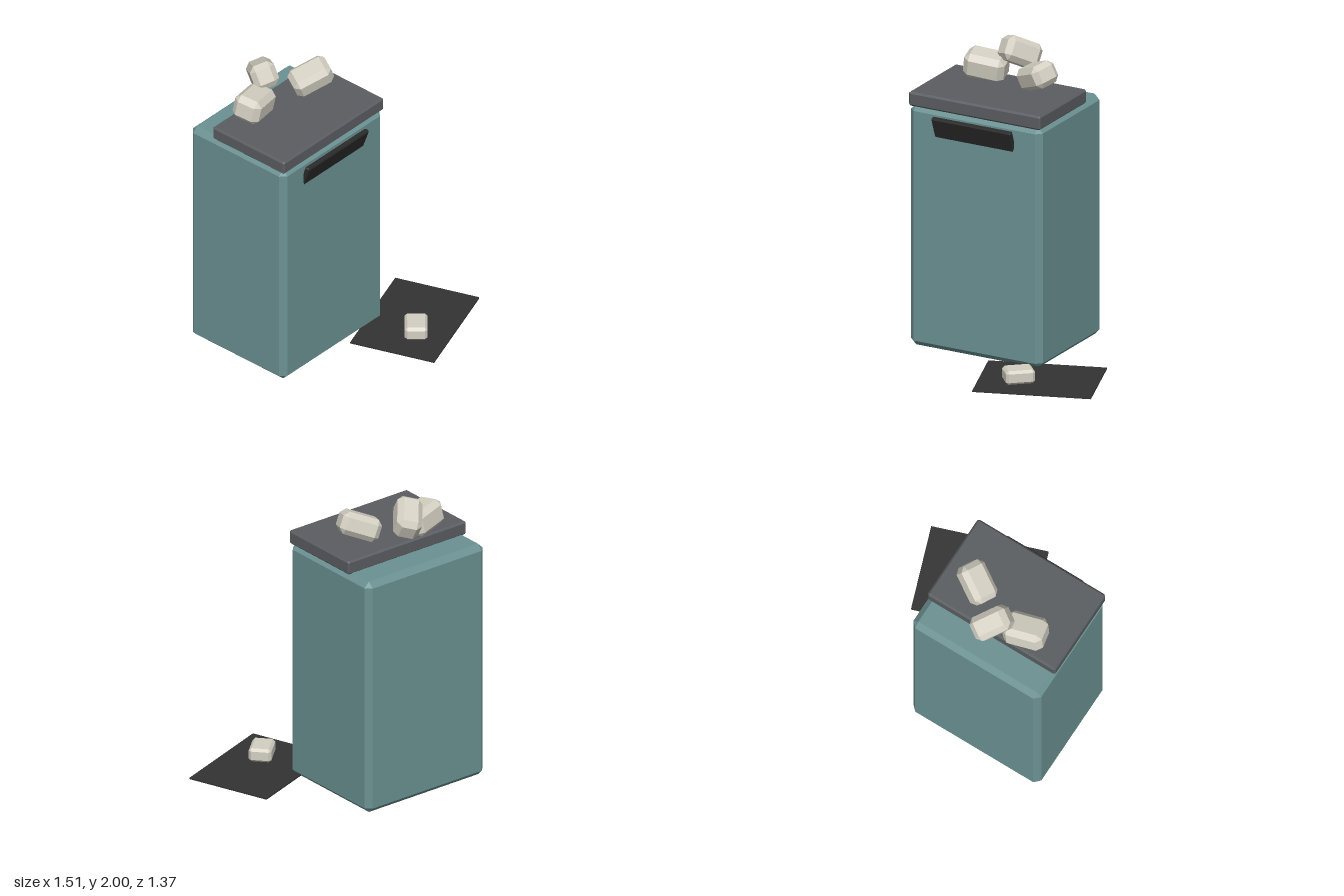
import * as THREE from 'three';
import { ConvexGeometry } from 'three/addons/geometries/ConvexGeometry.js';

const material = (color) => new THREE.MeshStandardMaterial({ color, flatShading: true });

// Box with every edge cut by one flat bevel of size c
function chamferedBox(w, h, d, c) {
  const points = [];
  for (const x of [-1, 1]) for (const y of [-1, 1]) for (const z of [-1, 1]) {
    for (let axis = 0; axis < 3; axis++) {
      const inset = [0, 1, 2].map((i) => (i === axis ? 0 : c));
      points.push(new THREE.Vector3(
        x * (w / 2 - inset[0]), y * (h / 2 - inset[1]), z * (d / 2 - inset[2])));
    }
  }
  return new ConvexGeometry(points);
}

export function createModel() {
  const model = new THREE.Group();
  model.name = 'binWithStones';

  const teal = material(0x6b9192);
  const grey = material(0x5a5d61);
  const black = material(0x2a2a2a);
  const rubber = material(0x333333);
  const stone = material(0xd3cfc2);

  // rotation is [yaw, pitch, roll]
  const add = (name, geometry, mat, position, [yaw, pitch, roll] = [0, 0, 0]) => {
    const mesh = new THREE.Mesh(geometry, mat);
    mesh.name = name;
    mesh.position.set(...position);
    mesh.rotation.set(roll, yaw, pitch, 'YZX');
    model.add(mesh);
  };

  // Bin body and the lid that is slid forward
  add('body', chamferedBox(0.96, 1.62, 0.8, 0.037), teal, [-0.28, 0.81, -0.29]);
  add('lid', chamferedBox(0.96, 0.095, 0.605, 0.012), grey, [-0.28, 1.66, -0.19]);

  // Tilted flap handle on the front
  add('handle', chamferedBox(0.58, 0.16, 0.034, 0.008), black, [-0.28, 1.503, 0.116], [0, 0, 0.35]);

  // Thin mat on the ground
  add('mat', new THREE.BoxGeometry(0.764, 0.01, 0.574), rubber, [0.2975, 0.009, 0.285], [0.34, 0, 0]);

  // Stones holding the lid down, and one on the mat
  const stones = [
    { name: 'leftStone', size: [0.27, 0.17, 0.19, 0.036], at: [-0.475, 1.785, -0.39], turn: [0.24, -0.13, 0.15] },
    { name: 'topStone', size: [0.255, 0.165, 0.165, 0.035], at: [-0.285, 1.873, -0.487], turn: [0.875, -0.445, -0.3] },
    { name: 'rightStone', size: [0.265, 0.15, 0.175, 0.034], at: [-0.047, 1.817, -0.29], turn: [-0.52, 0.37, 0.25] },
    { name: 'matStone', size: [0.19, 0.092, 0.146, 0.017], at: [0.2, 0.059, 0.383], turn: [0.73, 0, 0] },
  ];
  for (const s of stones) add(s.name, chamferedBox(...s.size), stone, s.at, s.turn);

  return model;
}
